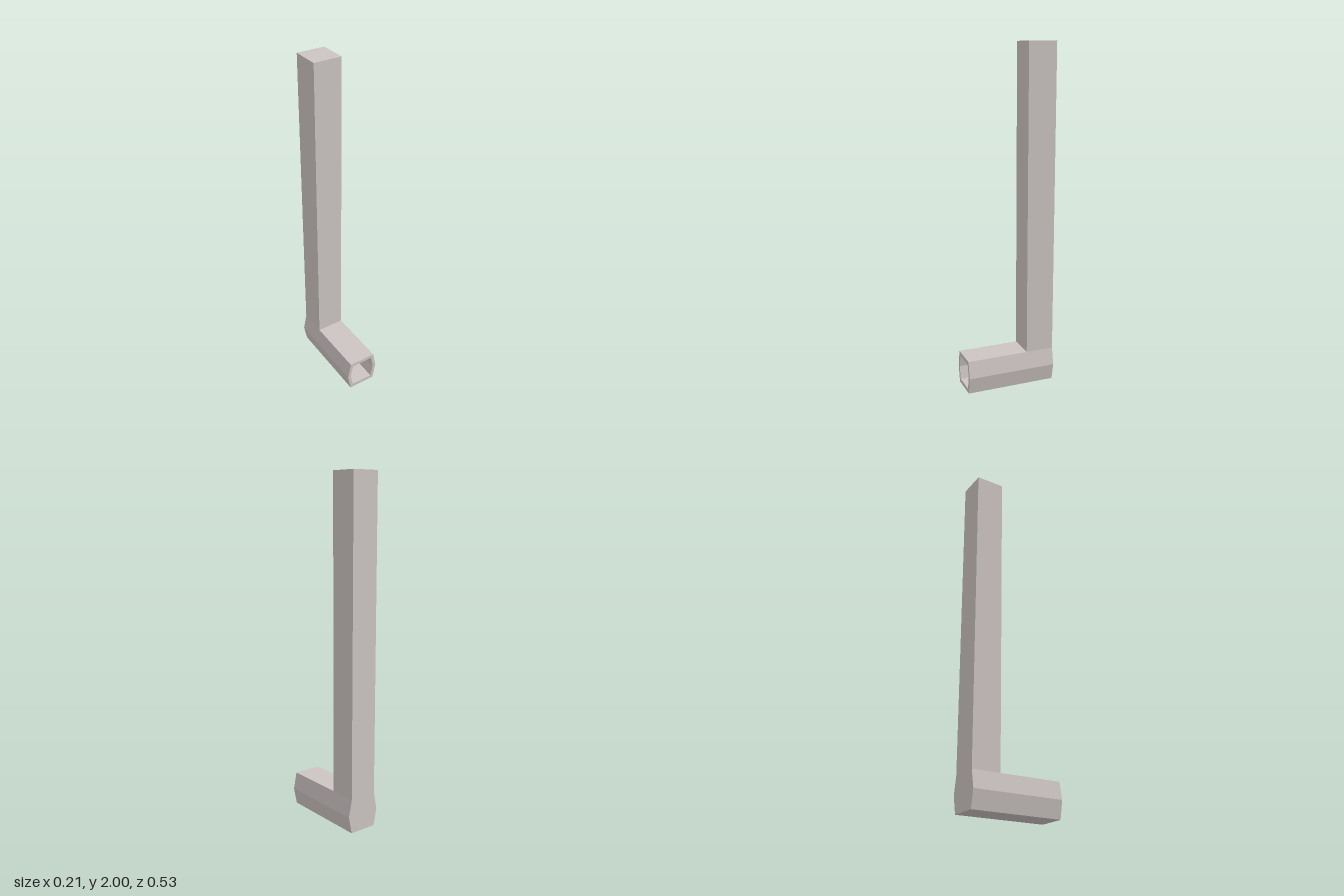
import * as THREE from 'three';

const material = new THREE.MeshStandardMaterial({ color: 0xccc4c2, flatShading: true });

// Six-sided section, counter-clockwise seen from +z
function hexSection(flat, wide, bottom, top, z) {
  const mid = 0.1;
  return [[-flat, bottom, z], [flat, bottom, z], [wide, mid, z],
    [flat, top, z], [-flat, top, z], [-wide, mid, z]];
}

// Joins consecutive sections with walls and closes both ends
function loft(sections) {
  const positions = [];
  const tri = (...corners) => corners.forEach(c => positions.push(...c));
  const n = sections[0].length;
  for (let s = 0; s < sections.length - 1; s++) {
    const a = sections[s], b = sections[s + 1];
    for (let i = 0; i < n; i++) {
      const j = (i + 1) % n;
      tri(a[i], a[j], b[j]);
      tri(a[i], b[j], b[i]);
    }
  }
  const first = sections[0], last = sections[sections.length - 1];
  for (let i = 1; i < n - 1; i++) {
    tri(first[0], first[i + 1], first[i]);
    tri(last[0], last[i], last[i + 1]);
  }
  const geometry = new THREE.BufferGeometry();
  geometry.setAttribute('position', new THREE.Float32BufferAttribute(positions, 3));
  geometry.computeVertexNormals();
  return geometry;
}

export function createModel() {
  const group = new THREE.Group();
  group.name = 'socketWrench';

  // Hollow socket: outer shell, front rim, then the bore and its floor
  const socket = new THREE.Mesh(loft([
    hexSection(0.083, 0.103, 0, 0.2, -0.267),
    hexSection(0.083, 0.103, 0, 0.2, 0.267),
    hexSection(0.067, 0.083, 0.023, 0.178, 0.267),
    hexSection(0.067, 0.083, 0.023, 0.178, -0.1),
  ]), material);
  socket.name = 'socket';
  group.add(socket);

  // Upright square handle at the back of the socket
  const handle = new THREE.Mesh(new THREE.BoxGeometry(0.166, 1.8, 0.167), material);
  handle.name = 'handle';
  handle.position.set(0, 1.1, -0.1835);
  group.add(handle);

  return group;
}
